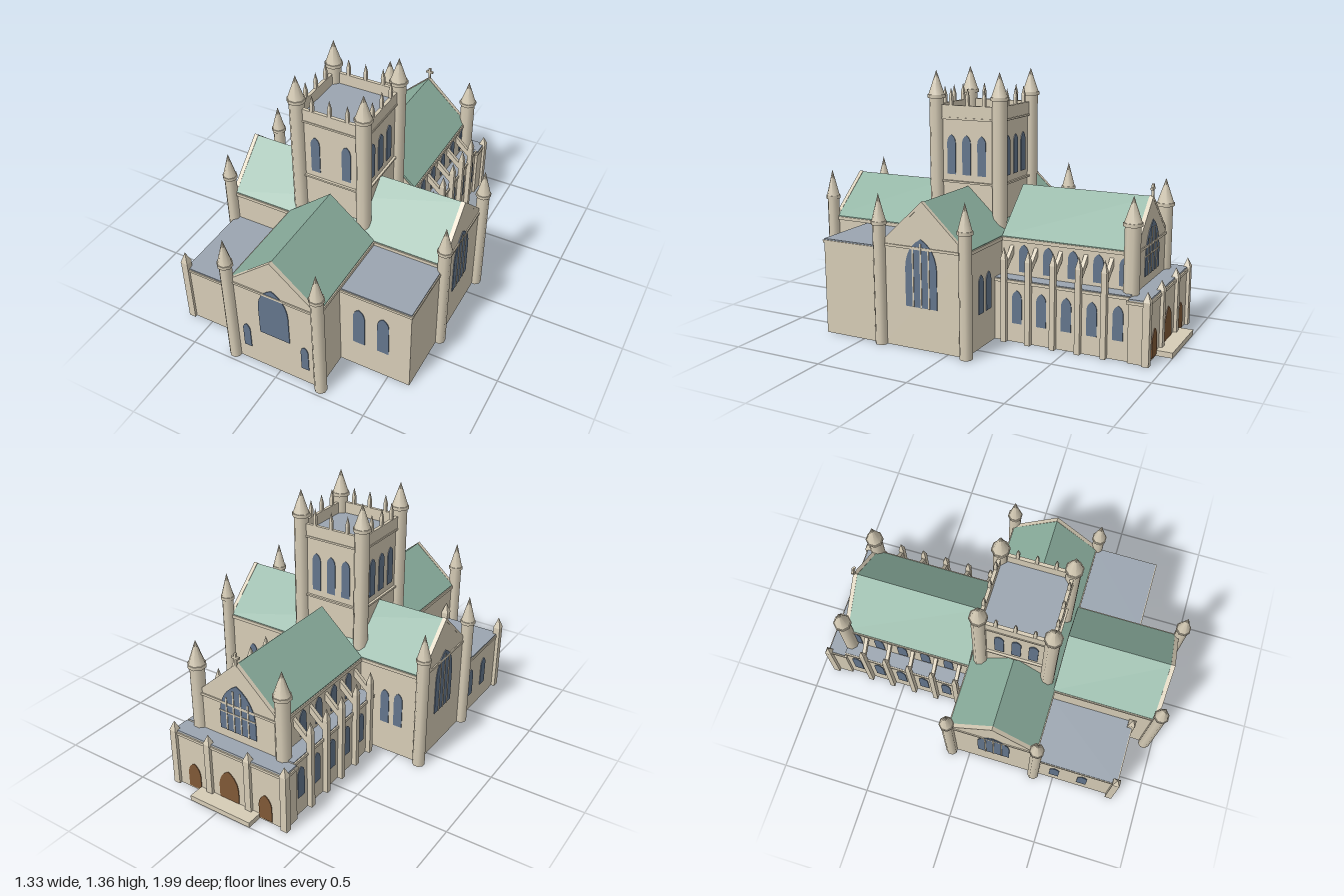
import * as THREE from 'three';

const mat = (name, color) => {
  const m = new THREE.MeshStandardMaterial({ color });
  m.name = name;
  return m;
};

// Drops the floor faces so a wall block is hollow below
const openBottom = geo => {
  const src = geo.index ? geo.toNonIndexed() : geo;
  src.computeBoundingBox();
  const low = src.boundingBox.min.y + 1e-5, p = src.attributes.position, out = [];
  for (let i = 0; i < p.count; i += 3) {
    if ([0, 1, 2].every(k => p.getY(i + k) < low)) continue;
    for (let k = 0; k < 3; k++) out.push(p.getX(i + k), p.getY(i + k), p.getZ(i + k));
  }
  const g = new THREE.BufferGeometry();
  g.setAttribute('position', new THREE.Float32BufferAttribute(out, 3));
  g.computeVertexNormals();
  return g;
};

export function createModel() {
  const stone = mat('stone', 0xd6ccb6);
  stone.side = THREE.DoubleSide;
  const copper = mat('greenRoof', 0x8aae9d);
  const lead = mat('leadRoof', 0x9ba5b0);
  const glass = mat('glass', 0x63758c);
  const wood = mat('door', 0x7f5836);
  const model = new THREE.Group();
  model.name = 'cathedral';

  const add = (name, geo, m, parent = model) => {
    const mesh = new THREE.Mesh(geo, m);
    mesh.name = name;
    parent.add(mesh);
    return mesh;
  };
  // Box given by its minimum and maximum corners
  const box = (name, x0, x1, y0, y1, z0, z1, m = stone, parent = model) => {
    const mesh = add(name, new THREE.BoxGeometry(x1 - x0, y1 - y0, z1 - z0), m, parent);
    mesh.position.set((x0 + x1) / 2, (y0 + y1) / 2, (z0 + z1) / 2);
    return mesh;
  };
  const hollow = (...args) => {
    const mesh = box(...args);
    mesh.geometry = openBottom(mesh.geometry);
  };
  const extrude = (pts, depth) => new THREE.ExtrudeGeometry(
    new THREE.Shape(pts.map(p => new THREE.Vector2(...p))), { depth, bevelEnabled: false });

  // Octagonal turret with collar and spire
  const turret = (x, z, r, y0, y1, tip) => {
    const g = new THREE.Group();
    g.name = 'turret';
    g.position.set(x, 0, z);
    g.rotation.y = Math.PI / 8;
    const part = (name, rt, rb, a, b) => {
      add(name, new THREE.CylinderGeometry(rt, rb, b - a, 8), stone, g).position.y = (a + b) / 2;
    };
    part('turretShaft', r, r, y0, y1);
    part('turretCollar', r * 1.22, r * 1.22, y1 - 0.012, y1 + 0.006);
    part('turretSpire', 0, r * 1.1, y1 + 0.006, tip);
    model.add(g);
  };
  // Square post with a pyramid cap
  const pinnacle = (x, z, w, y0, y1, tip) => {
    box('pinnaclePost', x - w / 2, x + w / 2, y0, y1, z - w / 2, z + w / 2);
    const geo = new THREE.CylinderGeometry(0, w * 0.76, tip - y1, 4).toNonIndexed();
    geo.rotateY(Math.PI / 4);
    geo.computeVertexNormals();
    add('pinnacleCap', geo, stone).position.set(x, (y1 + tip) / 2, z);
  };
  // Pointed opening on a wall; ry turns it from facing +z
  const arch = (name, x, z, ry, w, y0, y1, m = glass, bars = 0, transom = 0) => {
    const g = new THREE.Group();
    g.name = name + 'Group';
    g.position.set(x, y0, z);
    g.rotation.y = ry;
    const h = y1 - y0, a = w / 2, s = new THREE.Shape();
    s.moveTo(-a, 0).lineTo(a, 0).lineTo(a, h - 0.85 * w);
    s.quadraticCurveTo(a * 0.95, h - 0.25 * w, 0, h);
    s.quadraticCurveTo(-a * 0.95, h - 0.25 * w, -a, h - 0.85 * w);
    const geo = new THREE.ExtrudeGeometry(s, { depth: 0.004, bevelEnabled: false, curveSegments: 6 });
    add(name, geo.translate(0, 0, -0.001), m, g);
    for (let i = 1; i <= bars; i++) {
      const bx = -a + (w * i) / (bars + 1);
      const top = h - w * (0.12 + 0.65 * Math.pow(Math.abs(bx) / a, 1.8));
      box('mullion', bx - 0.004, bx + 0.004, 0, top, 0, 0.006, stone, g);
    }
    if (transom) box('transom', -a, a, transom, transom + 0.007, 0, 0.006, stone, g);
    model.add(g);
  };
  const E = Math.PI / 2, W = -E, N = Math.PI, S = 0;

  // Gabled wing running along local +z
  const wing = (name, x, z, ry, half, length, ridge, copings) => {
    const g = new THREE.Group();
    g.name = name;
    g.position.set(x, 0, z);
    g.rotation.y = ry;
    const eave = 0.53, t = 0.015;
    add(name + 'Walls', openBottom(extrude(
      [[-half, 0], [half, 0], [half, eave - t], [0, ridge - t], [-half, eave - t]], length)), stone, g);
    const chevron = (lift, drop, o) => [[-half - o, eave - drop], [-half - o, eave + lift], [0, ridge + lift],
      [half + o, eave + lift], [half + o, eave - drop], [0, ridge - drop]].reverse();
    add(name + 'Roof', extrude(chevron(0, t, 0.004), length - 0.004).translate(0, 0, 0.002), copper, g);
    for (const c of copings)
      add('gableCoping', extrude(chevron(0.004, t, 0), 0.022), stone, g).position.z = c;
    for (const s of [-1, 1])
      box('eavesCourse', s * half - 0.01, s * half + 0.01, 0.508, 0.526, 0, length, stone, g);
    for (const c of copings)
      box('gableCourse', -half, half, 0.515, 0.528, c - 0.005, c + 0.027, stone, g);
    model.add(g);
  };
  const cx = -0.015, tz = 0.14;
  wing('choir', cx, 0.375, 0, 0.245, 0.575, 0.741, [0.554]);
  wing('nave', cx, -0.82, 0, 0.245, 0.72, 0.757, [-0.001]);
  wing('transept', -0.62, tz, E, 0.238, 1.24, 0.754, [-0.001, 1.219]);

  for (const x of [-0.267, 0.238]) turret(x, 0.955, 0.033, 0, 0.64, 0.79);
  for (const x of [-0.272, 0.242]) turret(x, -0.805, 0.04, 0, 0.67, 0.805);
  for (const x of [-0.629, 0.627])
    for (const z of [-0.105, 0.385]) turret(x, z, 0.033, 0, 0.635, 0.78);

  // Choir front and transept windows
  arch('choirWindow', cx, 0.951, S, 0.17, 0.245, 0.565);
  for (const x of [-0.184, 0.152]) arch('smallWindow', x, 0.951, S, 0.042, 0.1, 0.255);
  arch('transeptWindow', 0.621, 0.147, E, 0.18, 0.22, 0.57, glass, 3);
  arch('transeptWindow', -0.622, 0.147, W, 0.18, 0.22, 0.57, glass, 3);
  for (const x of [-0.49, -0.41, 0.38, 0.46]) arch('transeptSideWindow', x, -0.099, N, 0.05, 0.18, 0.38);

  // Central tower
  const tx = -0.035, th = 0.185;
  hollow('towerBody', tx - th, tx + th, 0.5, 1.105, tz - th, tz + th);
  box('towerRoof', tx - th + 0.01, tx + th - 0.01, 1.105, 1.115, tz - th + 0.01, tz + th - 0.01, lead);
  for (const y of [0.766, 1.102])
    box('towerCourse', tx - th - 0.013, tx + th + 0.013, y, y + 0.01, tz - th - 0.013, tz + th + 0.013);
  for (const s of [-1, 1]) {
    const px = tx + s * th, pz = tz + s * th;
    box('parapet', px - 0.009, px + 0.009, 1.1, 1.176, tz - th, tz + th);
    box('parapet', tx - th, tx + th, 1.1, 1.176, pz - 0.009, pz + 0.009);
    for (const d of [-0.098, 0, 0.098]) {
      pinnacle(px, tz + d, 0.017, 1.17, 1.215, 1.267);
      pinnacle(tx + d, pz, 0.017, 1.17, 1.215, 1.267);
    }
    for (const k of [-1, 1]) turret(px, tz + k * 0.186, 0.039, 0.4, 1.222, 1.355);
    for (const d of [-0.09, 0, 0.09])
      arch('towerWindow', px + s * 0.001, tz + 0.008 + d, s * E, 0.05, 0.81, 1.02);
  }
  for (const d of [-0.0875, 0.0875]) arch('towerWindow', tx + d, tz + th + 0.001, S, 0.05, 0.81, 1.02);
  for (const d of [-0.09, 0, 0.09]) arch('towerWindow', tx + d, tz - th - 0.001, N, 0.05, 0.81, 1.02);

  // Tall and low annexes beside the choir
  const annex = (x0, x1, z1, h) => {
    hollow('annexWalls', x0, x1, 0, h - 0.004, 0.378, z1);
    box('annexCornice', x0 - 0.005, x1 + 0.005, h - 0.018, h - 0.004, 0.378, z1 + 0.006);
    box('annexRoof', x0, x1, h - 0.004, h + 0.003, 0.378, z1, lead);
  };
  annex(0.23, 0.619, 0.732, 0.505);
  annex(-0.619, -0.26, 0.84, 0.348);
  for (const x of [0.337, 0.47]) arch('annexWindow', x, 0.733, S, 0.064, 0.17, 0.405);
  for (const z of [0.5, 0.66]) arch('annexWindow', -0.62, z, W, 0.055, 0.1, 0.27);
  for (const x of [-0.62, -0.28]) pinnacle(x, 0.835, 0.038, 0, 0.39, 0.452);

  // Nave aisles with buttresses and flyers
  for (const s of [-1, 1]) {
    const span = (a, b) => [cx + Math.min(s * a, s * b), cx + Math.max(s * a, s * b)];
    hollow('aisleWalls', ...span(0.245, 0.325), 0, 0.32, -0.82, -0.1);
    box('aisleCornice', ...span(0.245, 0.333), 0.312, 0.327, -0.82, -0.1);
    box('aisleRoof', ...span(0.245, 0.325), 0.325, 0.331, -0.82, -0.1, lead);
    for (let i = 0; i < 5; i++) {
      const zb = -0.158 - 0.135 * i, zw = -0.225 - 0.135 * i;
      pinnacle(cx + s * 0.338, zb, 0.028, 0, 0.435, 0.498);
      const flyer = extrude([[0.235, 0.45], [0.335, 0.36], [0.335, 0.4], [0.235, 0.495]], 0.02);
      if (s < 0) flyer.rotateY(Math.PI).translate(0, 0, 0.02);
      add('flyingButtress', flyer, stone).position.set(cx, 0, zb - 0.01);
      arch('clerestoryWindow', cx + s * 0.246, zw, s * E, 0.054, 0.35, 0.495);
      arch('aisleWindow', cx + s * 0.326, zw, s * E, 0.054, 0.1, 0.275);
    }
  }

  // West porch, doors, gable window, cross and steps
  hollow('porchWalls', cx - 0.34, cx + 0.34, 0, 0.315, -0.915, -0.82);
  box('porchCornice', cx - 0.346, cx + 0.346, 0.296, 0.31, -0.922, -0.81);
  box('porchRoof', cx - 0.34, cx + 0.34, 0.315, 0.322, -0.915, -0.82, lead);
  for (const x of [-0.355, -0.14, 0.105, 0.322]) pinnacle(x, -0.914, 0.036, 0, 0.32, 0.37);
  arch('mainDoor', cx, -0.916, N, 0.12, 0.03, 0.2, wood);
  for (const d of [-0.222, 0.222]) arch('sideDoor', cx + d, -0.916, N, 0.078, 0.01, 0.155, wood);
  arch('gableWindow', cx, -0.822, N, 0.22, 0.37, 0.64, glass, 4, 0.1);
  box('crossPost', cx - 0.006, cx + 0.006, 0.75, 0.82, -0.822, -0.81);
  box('crossArm', cx - 0.021, cx + 0.021, 0.79, 0.802, -0.822, -0.81);
  box('steps', -0.2, 0.17, 0, 0.028, -1, -0.91);

  return model;
}
